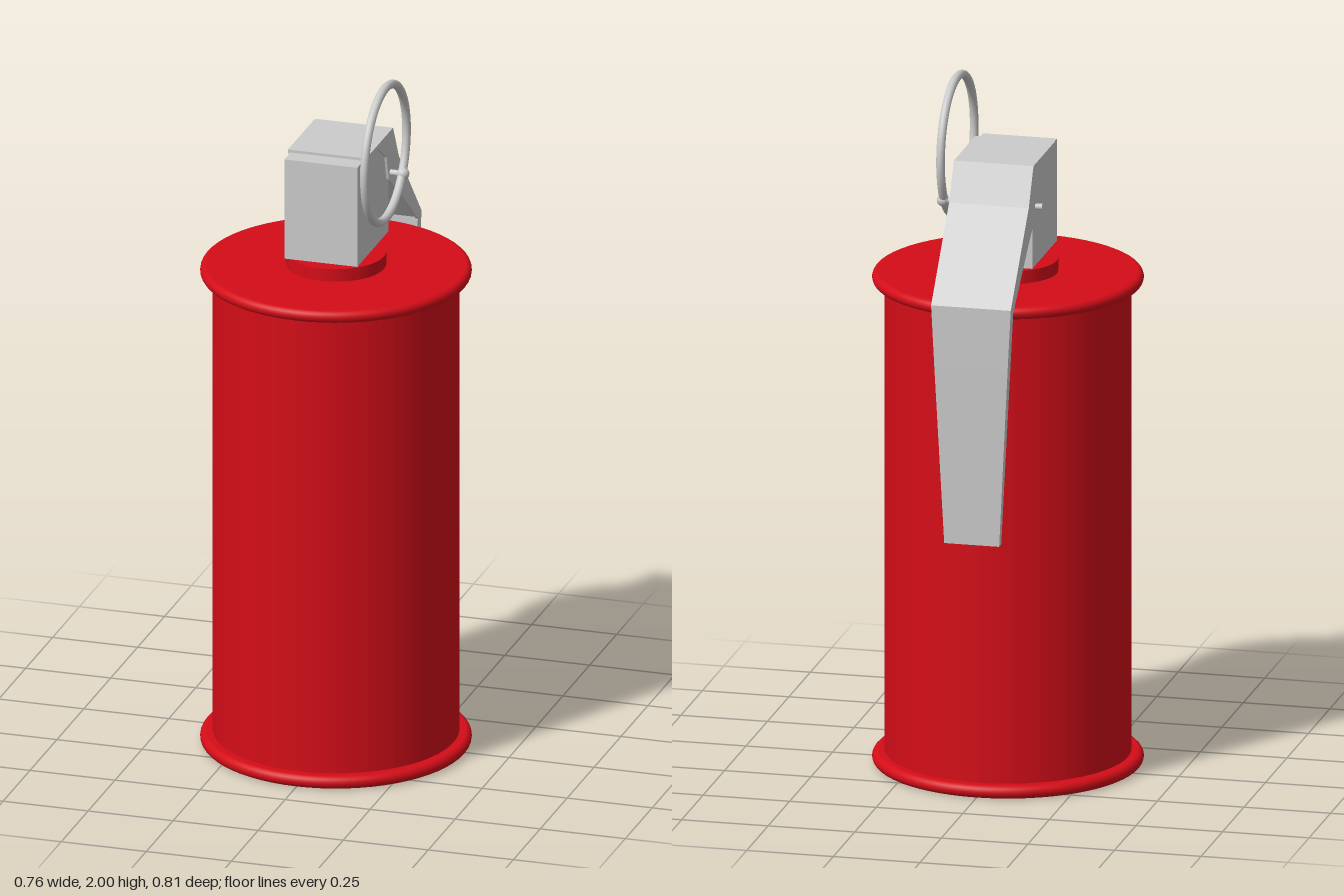
import * as THREE from 'three';

const CANISTER_Z = 0.027; // axis of the canister

const red = new THREE.MeshStandardMaterial({ color: 0xd40d18 });
const grey = new THREE.MeshStandardMaterial({ color: 0xcccccc });

export function createModel() {
  const model = new THREE.Group();

  const add = (name, geometry, material, x = 0, y = 0, z = 0) => {
    const mesh = new THREE.Mesh(geometry, material);
    mesh.name = name;
    mesh.position.set(x, y, z);
    model.add(mesh);
    return mesh;
  };

  // Disc with a fully rounded edge
  const roundedDisc = (radius, height) => {
    const h = height / 2;
    const points = [new THREE.Vector2(0, -h)];
    for (let i = 0; i <= 10; i++) {
      const a = -Math.PI / 2 + (i / 10) * Math.PI;
      points.push(new THREE.Vector2(radius - h + Math.cos(a) * h, Math.sin(a) * h));
    }
    points.push(new THREE.Vector2(0, h));
    return new THREE.LatheGeometry(points, 64);
  };

  // Side profile of [distance behind centre, height], extruded across x
  const sideExtrude = (profile, width) => {
    const shape = new THREE.Shape(profile.map(([u, y]) => new THREE.Vector2(u, y)));
    const geometry = new THREE.ExtrudeGeometry(shape, { depth: width, bevelEnabled: false });
    return geometry.translate(0, 0, -width / 2).rotateY(Math.PI / 2);
  };

  // Canister: shell, two rolled rims and the collar
  add('canisterBody', new THREE.CylinderGeometry(0.346, 0.346, 1.4, 64), red, 0, 0.72, CANISTER_Z);
  add('bottomRim', roundedDisc(0.381, 0.038), red, 0, 0.019, CANISTER_Z);
  add('topRim', roundedDisc(0.381, 0.036), red, 0, 1.419, CANISTER_Z);
  add('collar', new THREE.CylinderGeometry(0.141, 0.141, 0.045, 48), red, 0, 1.452, CANISTER_Z);

  // Neck and square fuse head
  add('neck', new THREE.CylinderGeometry(0.077, 0.077, 0.04, 32), grey, 0, 1.485, CANISTER_Z);
  add('fuseHead', new THREE.BoxGeometry(0.214, 0.298, 0.289), grey, 0, 1.64, 0.0225);

  // Lever sheet: top plate, sloping arm and long tapering leaf
  const outer = [[-0.11, 1.797], [0.14, 1.797], [0.195, 1.69], [0.405, 1.45]];
  const sheet = sideExtrude([
    ...outer, [0.405, 1.27], [0.396, 0.755],
    [0.372, 0.755], [0.372, 1.442], [0.185, 1.68], [0.133, 1.785], [-0.11, 1.785],
  ], 0.23);
  const position = sheet.attributes.position;
  for (let i = 0; i < position.count; i++) {
    const drop = Math.max(0, (1.45 - position.getY(i)) / 0.695);
    position.setX(i, position.getX(i) * (1 - 0.31 * drop));
  }
  sheet.computeVertexNormals();
  add('lever', sheet, grey);

  // Folded lever sides that carry the pin
  const flange = sideExtrude([
    ...outer, [0.372, 1.437], [0.195, 1.585], [0.1, 1.655],
    [0.08, 1.73], [0, 1.785], [-0.11, 1.785],
  ], 0.007);
  for (const side of [-1, 1]) {
    add(side > 0 ? 'leftLeverFlange' : 'rightLeverFlange', flange, grey, side * 0.1115);
  }

  // Safety pin with a rounded eye around the pull ring
  const pin = new THREE.CylinderGeometry(0.009, 0.009, 0.29, 16).rotateZ(Math.PI / 2);
  add('safetyPin', pin, grey, 0.01, 1.672, -0.115);
  add('pinEye', new THREE.SphereGeometry(0.018, 16, 12), grey, 0.152, 1.672, -0.115);

  // Pull ring standing beside the head
  const ring = new THREE.TorusGeometry(0.196, 0.0125, 12, 64).rotateY(Math.PI / 2);
  add('pullRing', ring, grey, 0.15, 1.7915, 0.042);

  return model;
}
